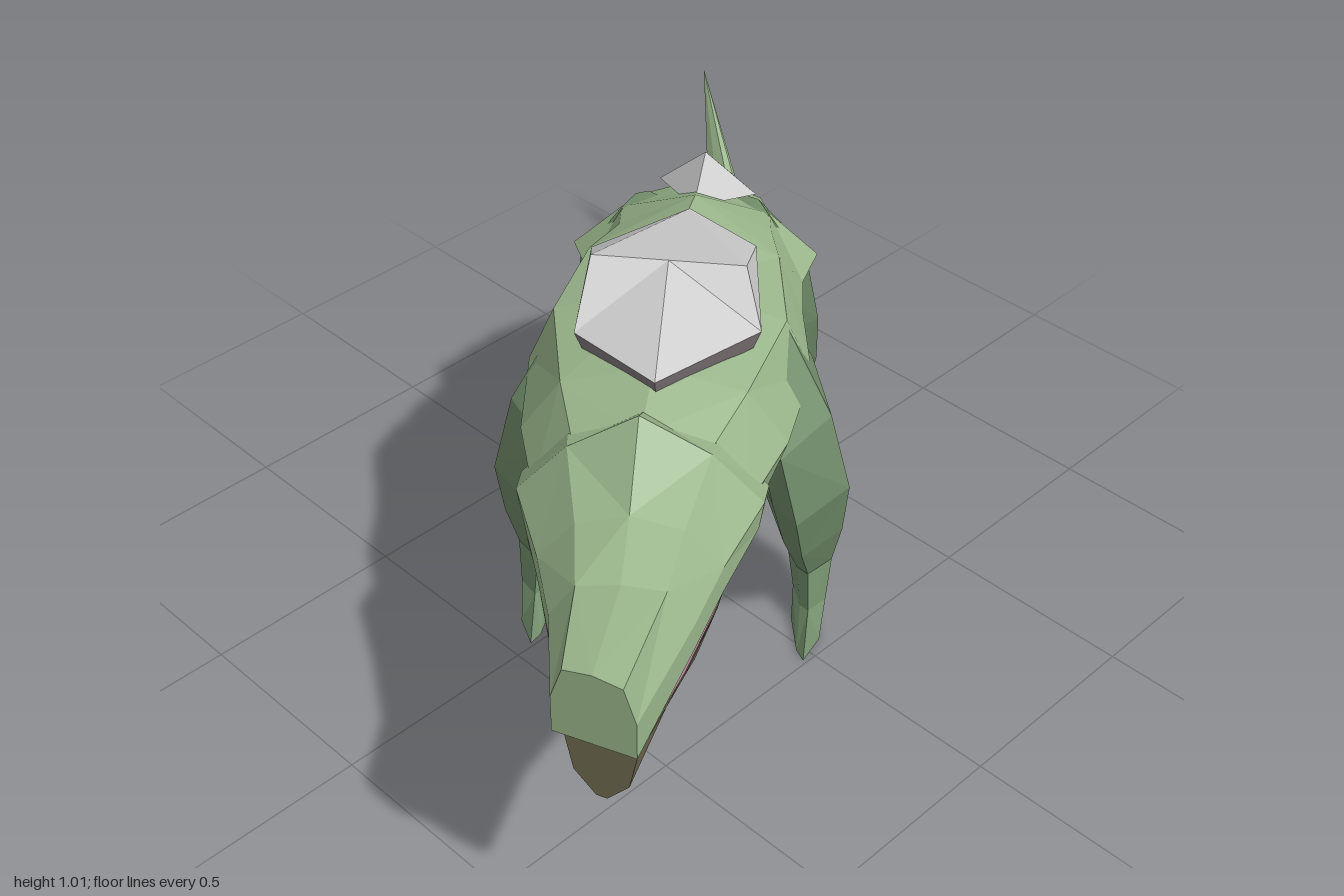
import * as THREE from 'three';

const mat = (color) => new THREE.MeshStandardMaterial({ color, flatShading: true, side: THREE.DoubleSide });
const green = mat(0x9ab68b), darkGreen = mat(0x728e6b), brown = mat(0x706a50);
const grey = mat(0xcccccc), darkGrey = mat(0x857c7e), pink = mat(0xb07a98);

// Skin a list of equally long point rings with faceted triangles
function loft(name, material, rings, closed = false, caps = false) {
  const pos = [], n = rings[0].length;
  const tri = (...p) => p.forEach((v) => pos.push(...v));
  for (let i = 0; i + 1 < rings.length; i++) {
    for (let j = 0; j < (closed ? n : n - 1); j++) {
      const k = (j + 1) % n, [a, b, c, d] = [rings[i][j], rings[i][k], rings[i + 1][k], rings[i + 1][j]];
      if ((i + j) % 2) { tri(a, b, c); tri(a, c, d); } else { tri(a, b, d); tri(b, c, d); }
    }
  }
  if (caps) {
    for (let j = 1; j + 1 < n; j++) {
      const first = rings[0], last = rings[rings.length - 1];
      tri(first[0], first[j + 1], first[j]);
      tri(last[0], last[j], last[j + 1]);
    }
  }
  const g = new THREE.BufferGeometry();
  g.setAttribute('position', new THREE.Float32BufferAttribute(pos, 3));
  g.computeVertexNormals();
  const m = new THREE.Mesh(g, material);
  m.name = name;
  return m;
}

// Arch over the back: station, centre, top, then three half width / height pairs
const arch = ([s, c, top, w1, y1, w2, y2, w3, y3]) => [
  [s, y3, c - w3], [s, y2, c - w2], [s, y1, c - w1], [s, top, c],
  [s, y1, c + w1], [s, y2, c + w2], [s, y3, c + w3]];
// Trough under the belly, joined to the arch edges
const trough = ([s, c, , , , , , w3, y3, yb]) => [
  [s, y3, c - w3], [s, yb + (y3 - yb) * 0.3, c - w3 * 0.65], [s, yb, c],
  [s, yb + (y3 - yb) * 0.3, c + w3 * 0.65], [s, y3, c + w3]];
// The snout end is cut at a slant, its left side reaching further forward
const slant = (ring, i) => ring.map(([s, y, t]) => [i ? s : s - 0.35 * t, y, t]);

// A cone of facets from a base outline to a peak
const spike = (name, base, peak) => loft(name, grey, [base, base.map(() => peak)], true);

// Leg rings: height, front, rear, inner and outer offset
function leg(name, rings, side, c) {
  return loft(name, darkGreen, rings.map(([y, a, b, ti, to]) => {
    const m = (a + b) / 2, tm = (ti + to) / 2;
    return [[a, y + 0.01, tm], [m - (b - a) * 0.1, y, to], [b - (b - a) * 0.1, y, to - (to - ti) * 0.25],
      [b, y, tm], [m + (b - a) * 0.2, y, ti], [a + (b - a) * 0.2, y, ti + (to - ti) * 0.25]]
      .map(([s, h, t]) => [s, h, c + side * t]);
  }), true, true);
}

export function createModel() {
  const model = new THREE.Group();
  model.name = 'reptile';
  // Built along local x (head at -x), then turned diagonally
  const body = new THREE.Group();
  body.name = 'body';
  body.rotation.y = 0.698;
  model.add(body);

  // Trunk and tail
  const trunk = [
    [-0.6, 0, 0.86, 0.14, 0.82, 0.23, 0.7, 0.22, 0.62, 0.345],
    [-0.42, 0.01, 0.9, 0.2, 0.85, 0.29, 0.72, 0.25, 0.6, 0.3],
    [-0.15, 0.02, 0.93, 0.26, 0.85, 0.32, 0.71, 0.27, 0.59, 0.29],
    [0.1, 0.03, 0.94, 0.22, 0.85, 0.28, 0.7, 0.25, 0.6, 0.31],
    [0.24, 0.045, 0.92, 0.18, 0.83, 0.26, 0.69, 0.22, 0.57, 0.36],
    [0.38, 0.035, 0.85, 0.18, 0.79, 0.3, 0.68, 0.2, 0.5, 0.4],
    [0.53, 0.045, 0.79, 0.14, 0.74, 0.22, 0.58, 0.16, 0.44, 0.39],
    [0.66, 0.045, 0.7, 0.11, 0.64, 0.17, 0.48, 0.12, 0.35, 0.3],
    [0.79, 0.04, 0.4, 0.09, 0.37, 0.115, 0.33, 0.08, 0.24, 0.17],
    [0.88, 0.045, 0.35, 0.07, 0.33, 0.09, 0.29, 0.06, 0.21, 0.14],
    [1.07, 0.05, 0.29, 0.045, 0.285, 0.06, 0.27, 0.04, 0.25, 0.22],
    [1.18, 0.055, 0.43, 0.025, 0.4, 0.045, 0.35, 0.035, 0.31, 0.29],
    [1.32, -0.016, 0.66, 0, 0.66, 0, 0.66, 0, 0.66, 0.66]];
  body.add(loft('back', green, trunk.map(arch)));
  body.add(loft('belly', brown, trunk.slice(0, 8).map(trough)));
  body.add(loft('tailUnderside', darkGreen, trunk.slice(7).map(trough)));

  // Upper head, with closed snout and back of skull
  const skull = [
    [-1.25, -0.025, 0.8, 0.06, 0.79, 0.085, 0.71, 0.085, 0.62],
    [-0.98, 0, 0.79, 0.09, 0.78, 0.145, 0.7, 0.145, 0.635],
    [-0.82, 0, 0.83, 0.11, 0.8, 0.19, 0.71, 0.19, 0.645],
    [-0.625, 0, 0.93, 0.15, 0.84, 0.26, 0.72, 0.25, 0.65],
    [-0.52, 0, 0.86, 0.16, 0.81, 0.265, 0.68, 0.24, 0.61]];
  body.add(loft('upperHead', green, skull.map(arch).map(slant), false, true));

  // Mouth lining and lower jaw
  const jaw = [[-1.23, -0.015, 0.075, 0.61, 0.46], [-1.03, 0, 0.13, 0.61, 0.49],
    [-0.85, 0, 0.18, 0.625, 0.4], [-0.58, 0, 0.22, 0.63, 0.34]];
  body.add(loft('lowerJaw', brown, jaw.map(([s, c, w, y, b]) => [
    [s, y, c - w], [s, b + (y - b) * 0.35, c - w * 0.75], [s, b, c - w * 0.15],
    [s, b, c + w * 0.15], [s, b + (y - b) * 0.35, c + w * 0.75], [s, y, c + w]]).map(slant), false, true));
  body.add(loft('mouthLining', pink, jaw.map(([s, c, w, y]) =>
    [[s, y + 0.008, c - w], [s, y + 0.008, c + w]]).map(slant)));
  body.add(loft('mouthCorner', pink, [[-0.8, 0.19], [-0.66, 0.235]].map(([s, w]) =>
    [[s, 0.61, -w], [s, 0.67, -w]])));

  // Grey shell plate: dark skirt, rim and lateral ridge
  const rim = [[-0.5, 0.92, 0.02], [-0.33, 0.915, -0.17], [-0.01, 0.925, -0.17],
    [0.14, 0.945, 0.04], [0.02, 0.93, 0.2], [-0.29, 0.915, 0.23]];
  const ridge = [0.5, 1, 1, 0.5, 0, 0].map((k) => [-0.19 + 0.014 * k, 1.015, 0.19 - 0.34 * k]);
  const skirt = rim.map(([s, y, t]) => [-0.18 + (s + 0.18) * 0.92, y - 0.05, 0.02 + (t - 0.02) * 0.92]);
  body.add(loft('shellSkirt', darkGrey, [skirt, rim], true));
  body.add(loft('shell', grey, [rim, ridge], true));

  // Hip crest and tail spikes
  body.add(spike('hipCrest', [[0.25, 0.88, 0.04], [0.4, 0.83, 0.18], [0.5, 0.81, 0.13], [0.47, 0.82, -0.06]], [0.42, 0.93, 0.055]));
  for (const [s, y, t, r] of [[0.82, 0.41, 0.06, 0.055], [1.08, 0.385, 0.05, 0.035]]) {
    body.add(spike('tailSpike', [[s - r, y - 0.05, t], [s, y - 0.08, t + r], [s + r, y - 0.1, t], [s, y - 0.08, t - r]], [s + 0.01, y, t]));
  }

  // Legs, mirrored
  const front = [[0.84, -0.24, -0.03, 0.1, 0.25], [0.66, -0.42, 0.03, 0.15, 0.36], [0.45, -0.39, 0.01, 0.18, 0.41],
    [0.28, -0.3, 0.0, 0.22, 0.4], [0.14, -0.2, -0.02, 0.27, 0.38], [0.05, -0.23, -0.09, 0.29, 0.37], [0, -0.35, -0.13, 0.29, 0.36]];
  const hind = [[0.8, 0.3, 0.44, 0.06, 0.18], [0.66, 0.24, 0.52, 0.1, 0.28], [0.46, 0.32, 0.57, 0.14, 0.31],
    [0.28, 0.41, 0.64, 0.18, 0.31], [0.14, 0.5, 0.61, 0.21, 0.29], [0.05, 0.46, 0.6, 0.2, 0.29], [0, 0.34, 0.59, 0.2, 0.28]];
  for (const [label, side] of [['Left', 1], ['Right', -1]]) {
    body.add(leg('front' + label + 'Leg', front, side, 0.03));
    body.add(leg('hind' + label + 'Leg', hind, side, 0.035));
  }
  return model;
}
